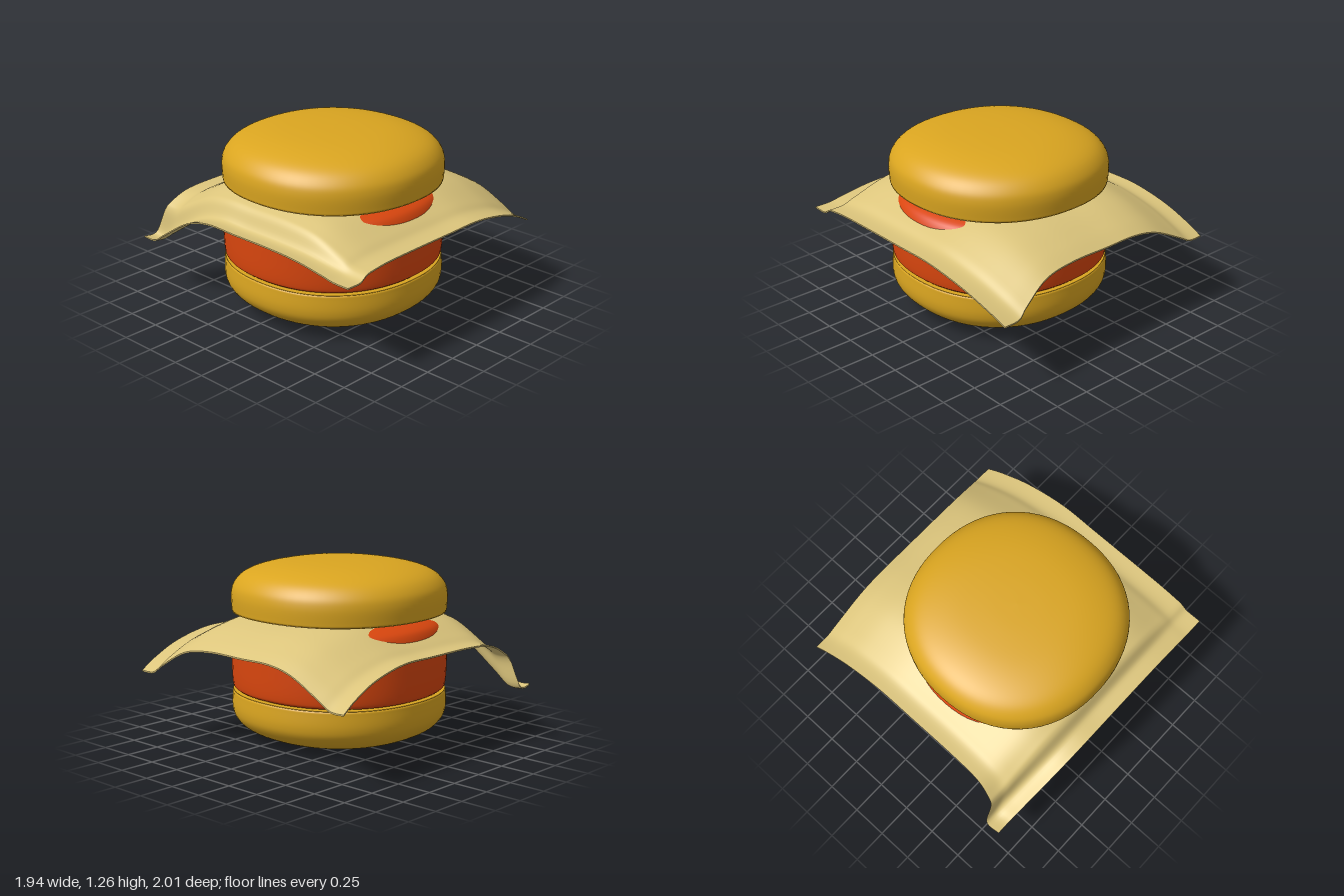
import * as THREE from 'three';

const CX = -0.1, CZ = 0.06; // centre of the round stack

const material = (color, side = THREE.FrontSide) => new THREE.MeshStandardMaterial({ color, side });

// Smooth round slab from a bottom-to-top profile of [radius, y], slightly squared in plan.
function roundSlab(name, profile, mat) {
  const curve = new THREE.SplineCurve(profile.map(([r, y]) => new THREE.Vector2(r, y)));
  const points = curve.getPoints(60);
  points.forEach(p => { p.x = Math.max(p.x, 0); });
  const geo = new THREE.LatheGeometry(points, 72);
  const pos = geo.attributes.position;
  const n = 2.2;
  for (let i = 0; i < pos.count; i++) {
    const x = pos.getX(i), z = pos.getZ(i), r = Math.hypot(x, z);
    if (r < 1e-6) continue;
    const k = Math.pow(Math.abs(x / r) ** n + Math.abs(z / r) ** n, -1 / n);
    pos.setX(i, x * k);
    pos.setZ(i, z * k);
  }
  const mesh = new THREE.Mesh(geo, mat);
  mesh.name = name;
  mesh.position.set(CX, 0, CZ);
  return mesh;
}

// Draped slice: the drops along x and z add up, and each corner is pulled its own way.
function cheeseSlice(mat) {
  const N = 64, TOP = 0.9, DROP = 0.18, THICK = 0.01;
  const toCurve = list => new THREE.SplineCurve(list.map(p => new THREE.Vector2(...p)));
  // [position, drop]
  const along = {
    x: toCurve([[-0.97, 0.18], [-0.86, 0.18], [-0.8, 0.08], [-0.74, 0.045], [-0.6, 0.01], [-0.35, 0],
      [0, 0], [0.3, 0.002], [0.58, 0.05], [0.78, 0.12], [0.9, 0.18]]).getPoints(N),
    z: toCurve([[-0.87, 0.18], [-0.76, 0.178], [-0.66, 0.13], [-0.45, 0.035], [-0.25, 0], [0, 0],
      [0.3, 0], [0.55, 0.03], [0.78, 0.125], [0.88, 0.175], [1, 0.18]]).getPoints(N),
  };
  // Corner pulls, [dx, dy, dz], indexed by (x > 0) + 2 * (z > 0)
  const pulls = [[0.06, -0.14, -0.13], [0.01, -0.03, -0.04], [0, 0.12, 0], [0.065, -0.03, -0.07]];
  const verts = [], index = [];
  const W = N + 1, layer = W * W;
  for (const offset of [0, THICK]) {
    for (const pz of along.z) for (const px of along.x) {
      const w = (px.y / DROP) * (pz.y / DROP);
      const [dx, dy, dz] = pulls[(px.x > 0 ? 1 : 0) + (pz.x > 0 ? 2 : 0)];
      verts.push(px.x + w * dx, TOP - px.y - pz.y + w * dy - offset, pz.x + w * dz);
    }
  }
  for (let j = 0; j < N; j++) for (let i = 0; i < N; i++) {
    const a = j * W + i, b = a + 1, c = a + W, d = c + 1;
    index.push(a, c, b, b, c, d); // top
    index.push(a + layer, b + layer, c + layer, b + layer, d + layer, c + layer); // underside
  }
  // Rim, with its own vertices so the edge stays sharp
  const rim = [];
  for (let i = 0; i < N; i++) rim.push(i);
  for (let i = 0; i < N; i++) rim.push(i * W + N);
  for (let i = N; i > 0; i--) rim.push(N * W + i);
  for (let i = N; i > 0; i--) rim.push(i * W);
  const start = verts.length / 3;
  for (const r of rim) for (const v of [r, r + layer]) verts.push(...verts.slice(v * 3, v * 3 + 3));
  for (let i = 0; i < rim.length; i++) {
    const a = start + i * 2, b = start + ((i + 1) % rim.length) * 2;
    index.push(a, b, a + 1, b, b + 1, a + 1);
  }
  const geo = new THREE.BufferGeometry();
  geo.setAttribute('position', new THREE.Float32BufferAttribute(verts, 3));
  geo.setIndex(index);
  geo.computeVertexNormals();
  const mesh = new THREE.Mesh(geo, mat);
  mesh.name = 'cheeseSlice';
  return mesh;
}

export function createModel() {
  const group = new THREE.Group();
  group.name = 'burger';

  const bun = material(0xdaa520);
  const meat = material(0xd9460e);
  const cheese = material(0xdcc57c, THREE.DoubleSide);

  // Domed top half; the bottom half is the same profile turned over
  const domed = [[0, 0.905], [0.4, 0.905], [0.69, 0.905], [0.722, 0.912], [0.728, 0.94], [0.73, 1.03],
    [0.71, 1.1], [0.65, 1.165], [0.55, 1.21], [0.4, 1.242], [0.2, 1.258], [0, 1.262]];
  const turned = domed.map(([r, y]) => [r, 1.262 - y]).reverse();
  group.add(roundSlab('topBun', domed, bun));
  group.add(roundSlab('bottomBun', turned, bun));

  group.add(roundSlab('patty', [[0, 0.36], [0.4, 0.36], [0.66, 0.362], [0.71, 0.372], [0.726, 0.41],
    [0.732, 0.55], [0.73, 0.7], [0.7, 0.8], [0.64, 0.845], [0.5, 0.87], [0.25, 0.876], [0, 0.877]], meat));

  group.add(cheeseSlice(cheese));
  return group;
}
